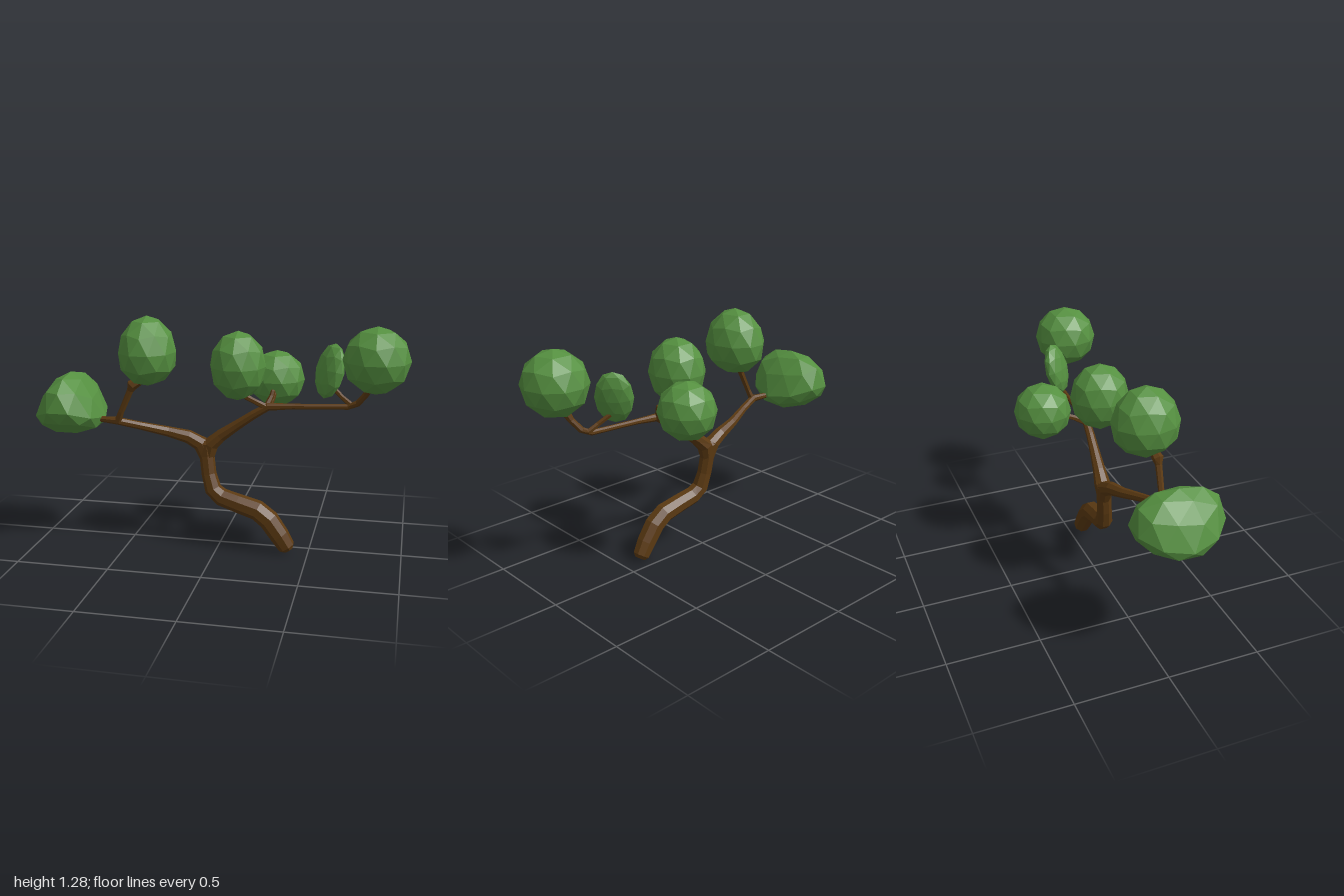
import * as THREE from 'three';

const bark = new THREE.MeshStandardMaterial({ color: 0x5c3a12, flatShading: true });
const leaf = new THREE.MeshStandardMaterial({ color: 0x559040, flatShading: true });

// Limb with its own radius at every point [x, y, z, r] and rounded, closed ends
function limb(name, path, sides = 8) {
  const at = (p) => new THREE.Vector3(p[0], p[1], p[2]);
  const beyond = (end, prev, k) => {
    const d = at(end).sub(at(prev)).normalize().multiplyScalar(end[3] * k);
    return at(end).add(d).toArray();
  };
  const n = path.length;
  const caps = (end, prev) => [[...beyond(end, prev, 0.4), end[3] * 0.65], [...beyond(end, prev, 0.45), 0]];
  const rings = [...caps(path[0], path[1]).reverse(), ...path, ...caps(path[n - 1], path[n - 2])];
  const pos = [], index = [];
  const u = new THREE.Vector3(0, 0, 1), v = new THREE.Vector3();
  rings.forEach((p, i) => {
    const t = at(rings[Math.min(i + 1, rings.length - 1)]).sub(at(rings[Math.max(i - 1, 0)])).normalize();
    u.addScaledVector(t, -u.dot(t)).normalize();
    v.crossVectors(t, u);
    for (let j = 0; j < sides; j++) {
      const a = ((j + 0.5) / sides) * Math.PI * 2;
      const q = at(p).addScaledVector(u, Math.cos(a) * p[3]).addScaledVector(v, Math.sin(a) * p[3]);
      pos.push(q.x, q.y, q.z);
      if (i) {
        const k = (j + 1) % sides, lo = (i - 1) * sides, hi = i * sides;
        index.push(lo + j, lo + k, hi + j, lo + k, hi + k, hi + j);
      }
    }
  });
  const geo = new THREE.BufferGeometry();
  geo.setAttribute('position', new THREE.Float32BufferAttribute(pos, 3));
  geo.setIndex(index);
  geo.computeVertexNormals();
  const mesh = new THREE.Mesh(geo, bark);
  mesh.name = name;
  return mesh;
}

// Faceted leaf ball; shape(v) bends the unit sphere before scaling
function foliage(name, center, size, shape) {
  const geo = new THREE.IcosahedronGeometry(1, 1);
  geo.rotateX(Math.atan2(2, 1 + Math.sqrt(5)) - Math.PI / 2); // one corner straight up
  if (shape) {
    const p = geo.attributes.position, v = new THREE.Vector3();
    for (let i = 0; i < p.count; i++) {
      shape(v.fromBufferAttribute(p, i));
      p.setXYZ(i, v.x, v.y, v.z);
    }
  }
  geo.scale(...size);
  geo.computeVertexNormals();
  const mesh = new THREE.Mesh(geo, leaf);
  mesh.name = name;
  mesh.position.set(...center);
  return mesh;
}

export function createModel() {
  const tree = new THREE.Group();
  tree.name = 'bentTree';

  // Crooked trunk
  tree.add(limb('trunk', [
    [0.385, 0.04, 0.077, 0.047], [0.345, 0.105, 0.08, 0.054], [0.285, 0.19, 0.08, 0.057],
    [0.22, 0.24, 0.078, 0.056], [0.11, 0.27, 0.07, 0.052], [0.02, 0.295, 0.06, 0.05],
    [-0.03, 0.335, 0.052, 0.047], [-0.055, 0.42, 0.043, 0.041], [-0.068, 0.52, 0.034, 0.041],
    [-0.075, 0.59, 0.032, 0.044],
  ]));

  // Main branches
  tree.add(limb('leftBranch', [
    [-0.07, 0.5, 0.034, 0.034], [-0.1, 0.585, 0.033, 0.045], [-0.17, 0.622, 0.037, 0.037],
    [-0.28, 0.652, 0.06, 0.028], [-0.42, 0.69, 0.11, 0.022], [-0.54, 0.72, 0.145, 0.021],
    [-0.66, 0.722, 0.13, 0.014],
  ]));
  tree.add(limb('rightBranch', [
    [-0.065, 0.5, 0.034, 0.034], [-0.048, 0.585, 0.033, 0.045], [0.01, 0.638, 0.038, 0.035],
    [0.1, 0.704, 0.048, 0.028], [0.19, 0.768, 0.057, 0.024], [0.27, 0.818, 0.062, 0.022],
    [0.4, 0.826, 0.063, 0.015], [0.55, 0.832, 0.063, 0.014], [0.69, 0.838, 0.063, 0.015],
    [0.74, 0.862, 0.075, 0.017], [0.78, 0.915, 0.1, 0.017], [0.805, 0.97, 0.12, 0.024],
  ]));

  // Twigs that carry the leaf balls
  tree.add(limb('leftTwig', [
    [-0.535, 0.715, 0.148, 0.02], [-0.51, 0.775, 0.16, 0.016], [-0.455, 0.895, 0.167, 0.018],
    [-0.445, 0.925, 0.167, 0.03], [-0.4, 0.95, 0.16, 0.022],
  ], 6));
  tree.add(limb('middleTwig', [[0.26, 0.815, 0.062, 0.018], [0.21, 0.845, 0.085, 0.015], [0.14, 0.89, 0.12, 0.015]], 6));
  tree.add(limb('upperTwig', [[0.26, 0.815, 0.06, 0.018], [0.285, 0.87, 0.03, 0.014], [0.29, 0.895, 0.02, 0.013]], 6));
  tree.add(limb('backTwig', [[0.265, 0.81, 0.06, 0.02], [0.28, 0.84, 0, 0.016], [0.285, 0.875, -0.08, 0.014]], 6));
  tree.add(limb('outerTwig', [[0.71, 0.845, 0.063, 0.015], [0.66, 0.88, 0.045, 0.013], [0.605, 0.925, 0.015, 0.013]], 6));

  // Leaf balls
  const egg = (v) => { const k = 1 - 0.1 * v.y; v.x *= k; v.z *= k; };
  tree.add(foliage('leftFoliage', [-0.81, 0.725, 0.1], [0.192, 0.245, 0.24], (v) => {
    v.x *= 1 - 0.3 * Math.max(0, v.y);
    v.y = (v.y < 0 ? v.y * 0.4 : v.y) + 0.28 * v.z * v.z;
  }));
  tree.add(foliage('upperLeftFoliage', [-0.367, 1.105, 0.13], [0.157, 0.187, 0.18], egg));
  tree.add(foliage('middleFoliage', [0.11, 1.035, 0.08], [0.149, 0.185, 0.162]));
  tree.add(foliage('backFoliage', [0.278, 0.92, -0.19], [0.155, 0.157, 0.157]));
  tree.add(foliage('rightFoliage', [0.83, 1.103, 0.15], [0.172, 0.173, 0.175]));

  // Small flattened ball, turned and leaning
  const small = foliage('smallFoliage', [0.585, 1.012, 0.005], [0.1, 0.147, 0.05]);
  small.rotation.set(-0.25, -Math.PI / 4, 0, 'YXZ');
  tree.add(small);

  return tree;
}
